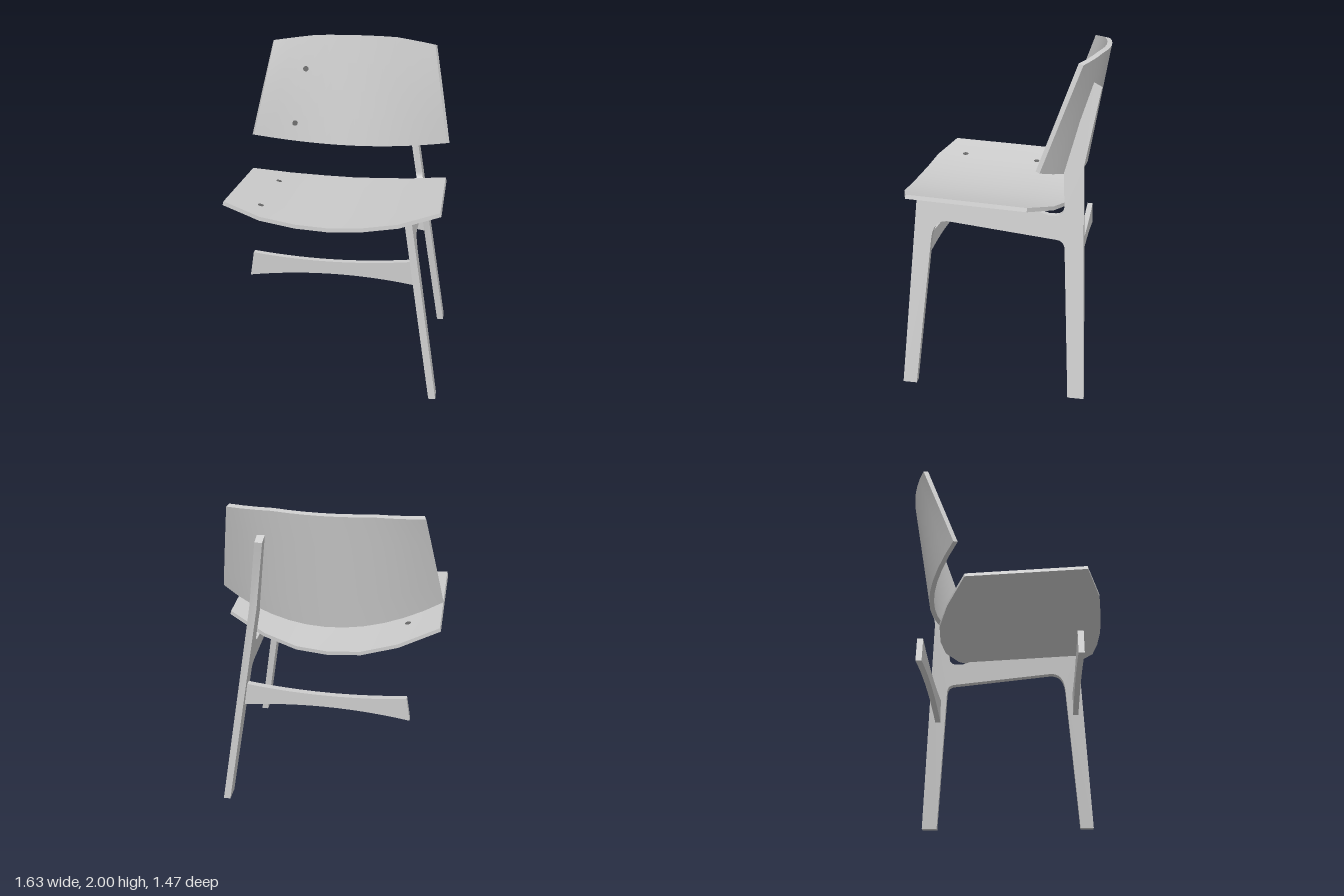
import * as THREE from 'three';
import { toCreasedNormals } from 'three/addons/utils/BufferGeometryUtils.js';

const MID = -0.043;   // middle of the chair's width
const LEAN = 0.159;   // inward lean of the side frame per unit of height
const grey = new THREE.MeshStandardMaterial({ color: 0xcccccc });
const dark = new THREE.MeshStandardMaterial({ color: 0x666666 });

function mesh(name, geometry, material = grey) {
  const m = new THREE.Mesh(geometry, material);
  m.name = name;
  return m;
}

// Unit normal of a surface P(k, t)
function normalAt(P, k, t) {
  const e = 0.02;
  const du = P(k + e, t).sub(P(k - e, t));
  const dv = P(k, t + e).sub(P(k, t - e));
  return du.cross(dv).normalize();
}

// Bent board: face surface P(k in -1..1, t in 0..1), offset backwards by its thickness
function board(P, ks, rows, thickness) {
  const face = [], back = [], out = [];
  const w = ks.length;
  for (let j = 0; j <= rows; j++) {
    for (const k of ks) {
      const p = P(k, j / rows);
      face.push(p);
      back.push(p.clone().addScaledVector(normalAt(P, k, j / rows), -thickness));
    }
  }
  const quad = (a, b, c, d) => [a, b, c, a, c, d].forEach((v) => out.push(v.x, v.y, v.z));
  for (let j = 0; j < rows; j++) {
    for (let i = 0; i < w - 1; i++) {
      const a = j * w + i, b = a + 1, c = b + w, d = a + w;
      quad(face[a], face[b], face[c], face[d]);
      quad(back[a], back[d], back[c], back[b]);
    }
  }
  // rim
  const loop = [];
  for (let i = 0; i < w - 1; i++) loop.push(i);
  for (let j = 0; j < rows; j++) loop.push(j * w + w - 1);
  for (let i = w - 1; i > 0; i--) loop.push(rows * w + i);
  for (let j = rows; j > 0; j--) loop.push(j * w);
  loop.forEach((p, n) => {
    const q = loop[(n + 1) % loop.length];
    quad(face[p], back[p], back[q], face[q]);
  });
  const g = new THREE.BufferGeometry();
  g.setAttribute('position', new THREE.Float32BufferAttribute(out, 3));
  return toCreasedNormals(g, 0.5);
}

// Screw head sitting flush in a bent board
function screw(name, P, k, t) {
  const m = mesh(name, new THREE.CylinderGeometry(0.018, 0.018, 0.012, 16), dark);
  const n = normalAt(P, k, t);
  m.position.copy(P(k, t)).addScaledVector(n, -0.003);
  m.quaternion.setFromUnitVectors(new THREE.Vector3(0, 1, 0), n);
  return m;
}

// Piecewise linear lookup, mirrored about k = 0
const NODES = [0, 0.3, 0.63, 1];
function lookup(values, k) {
  const a = Math.abs(k);
  let i = 0;
  while (i < NODES.length - 2 && a > NODES[i + 1]) i++;
  return THREE.MathUtils.lerp(values[i], values[i + 1], (a - NODES[i]) / (NODES[i + 1] - NODES[i]));
}

// Dished seat, t runs from the front edge to the back edge
function seatSurface(k, t) {
  const z = THREE.MathUtils.lerp(
    lookup([0.557, 0.55, 0.532, 0.455], k), lookup([-0.452, -0.438, -0.372, -0.25], k), t);
  const y = 1.21 + 0.05 * (z - 0.455) - 0.095 * (1 - k * k);
  return new THREE.Vector3(MID + 0.634 * k, y, z);
}

// Curved backrest ruled between its bottom and top edges
function backSurface(k, t) {
  const bottom = new THREE.Vector3(0.63 * k, 1.28 + 0.11 * k * k, -0.495 + 0.2 * k * k);
  const top = new THREE.Vector3(0.525 * k, 2 - 0.025 * Math.max(0, 2 * Math.abs(k) - 1), -0.615 + 0.11 * k * k);
  const p = bottom.lerp(top, t);
  p.x += MID;
  return p;
}

// Side frame: both legs and the rail cut from one board, leaning inwards
function sideFrame() {
  const s = new THREE.Shape();
  s.moveTo(0.507, 0);
  s.lineTo(0.437, 1.14);
  s.lineTo(-0.28, 1.105);
  s.lineTo(-0.35, 1.083);
  s.lineTo(-0.39, 1.083);
  s.quadraticCurveTo(-0.44, 1.085, -0.441, 1.14);
  s.lineTo(-0.427, 1.37);
  s.lineTo(-0.575, 1.835);
  s.lineTo(-0.622, 1.81);
  s.lineTo(-0.542, 1.37);
  s.lineTo(-0.602, 0);
  s.lineTo(-0.506, 0);
  s.lineTo(-0.452, 0.89);
  s.quadraticCurveTo(-0.449, 0.938, -0.405, 0.943);
  s.lineTo(0.25, 1.01);
  s.quadraticCurveTo(0.335, 1.01, 0.345, 0.9);
  s.lineTo(0.4225, 0);
  const thick = 0.043;
  const g = new THREE.ExtrudeGeometry(s, { depth: thick, bevelEnabled: false, curveSegments: 6 });
  g.translate(0, 0, -thick / 2);
  g.rotateY(-Math.PI / 2);
  const p = g.attributes.position;
  for (let i = 0; i < p.count; i++) p.setX(i, p.getX(i) + 0.588 - LEAN * p.getY(i));
  return toCreasedNormals(g, 0.5);
}

// Waisted stretcher whose ends follow the lean of the legs
function stretcher(low, high, waistLow, waistHigh, z) {
  const end = (y) => 0.612 - LEAN * y;
  const s = new THREE.Shape();
  s.moveTo(-end(low), low);
  s.quadraticCurveTo(0, 2 * waistLow - low, end(low), low);
  s.lineTo(end(high), high);
  s.quadraticCurveTo(0, 2 * waistHigh - high, -end(high), high);
  s.closePath();
  const g = new THREE.ExtrudeGeometry(s, { depth: 0.035, bevelEnabled: false, curveSegments: 14 });
  g.translate(MID, 0, z - 0.0175);
  return toCreasedNormals(g, 0.5);
}

export function createModel() {
  const chair = new THREE.Group();
  chair.name = 'chair';
  chair.rotation.y = -0.477;

  const seatCuts = [-1, -0.63, -0.3, 0, 0.3, 0.63, 1];
  const backCuts = Array.from({ length: 13 }, (_, i) => -1 + i / 6);
  chair.add(
    mesh('seat', board(seatSurface, seatCuts, 4, 0.024)),
    mesh('backrest', board(backSurface, backCuts, 4, 0.03)),
    mesh('sideFrame', sideFrame()),
    mesh('frontStretcher', stretcher(0.73, 0.88, 0.77, 0.85, 0.41)),
    mesh('rearStretcher', stretcher(0.69, 0.84, 0.73, 0.81, -0.51)),
    screw('seatScrewFront', seatSurface, -0.69, 0.195),
    screw('seatScrewRear', seatSurface, -0.69, 0.76),
    screw('backScrewUpper', backSurface, -0.58, 0.69),
    screw('backScrewLower', backSurface, -0.63, 0.17),
  );

  const model = new THREE.Group();
  model.name = 'model';
  model.add(chair);
  return model;
}
